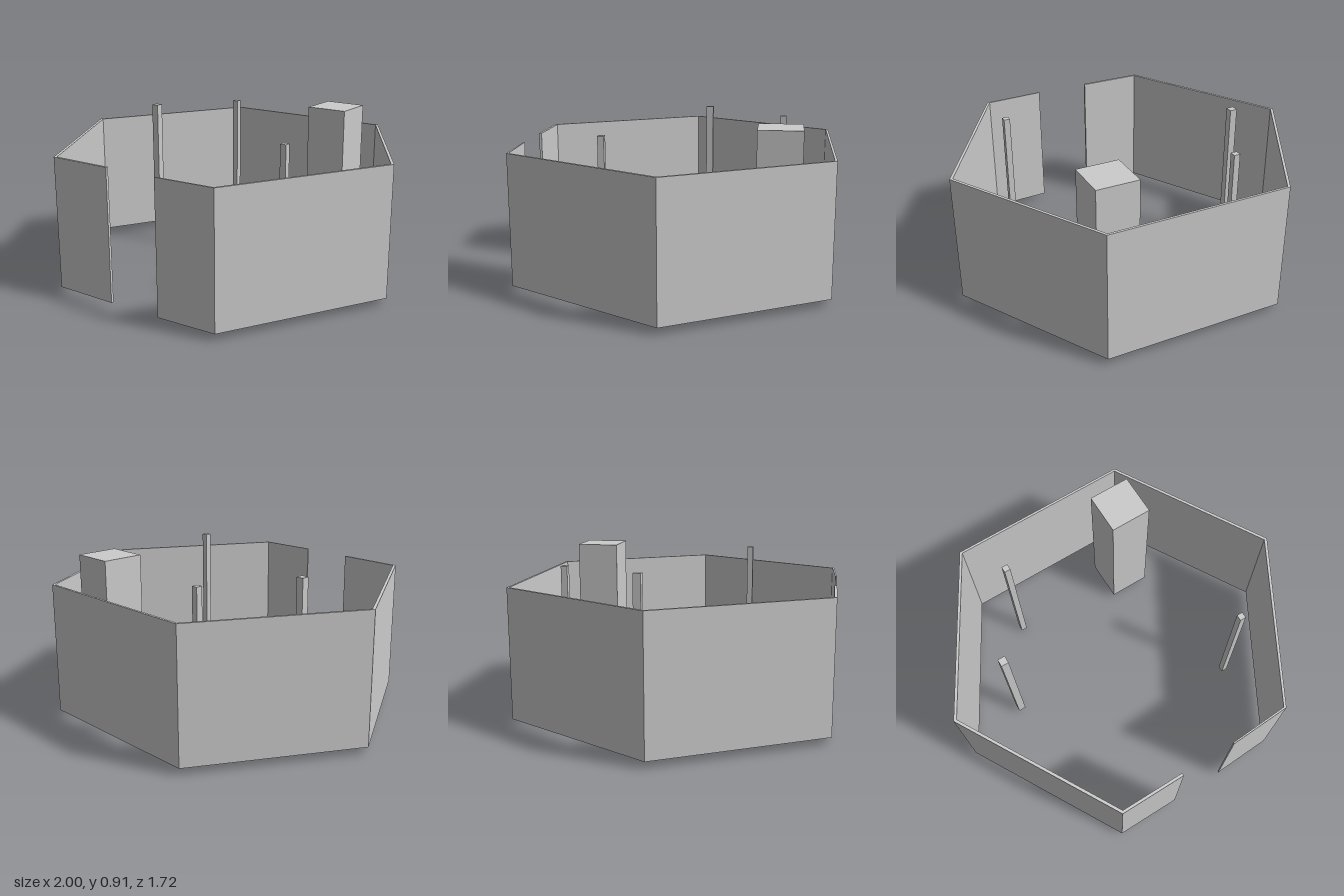
import * as THREE from 'three';

const material = new THREE.MeshStandardMaterial({ color: 0xcccccc, flatShading: true });

// Axis-aligned block standing from y0 to y1, centred on (x, z)
function block(name, x, z, width, y0, y1) {
  const mesh = new THREE.Mesh(new THREE.BoxGeometry(width, y1 - y0, width), material);
  mesh.name = name;
  mesh.position.set(x, (y0 + y1) / 2, z);
  return mesh;
}

export function createModel() {
  const model = new THREE.Group();
  model.name = 'hexagonalEnclosure';

  // Thin hexagonal wall with a doorway in the front side: plan points are (x, z)
  const outer = [
    [-0.14, 0.855], [-0.507, 0.855], [-1, -0.015], [-0.51, -0.86],
    [0.51, -0.86], [1, -0.022], [0.512, 0.84], [0.17, 0.855],
  ];
  const inner = [
    [0.17, 0.847], [0.502, 0.83], [0.982, -0.022], [0.501, -0.847],
    [-0.501, -0.847], [-0.982, -0.015], [-0.497, 0.84], [-0.14, 0.84],
  ];
  const plan = new THREE.Shape([...outer, ...inner].map(([x, z]) => new THREE.Vector2(x, z)));
  const bottom = 0.04, top = 0.767;
  const wallGeometry = new THREE.ExtrudeGeometry(plan, { depth: top - bottom, bevelEnabled: false });
  wallGeometry.rotateX(Math.PI / 2);
  wallGeometry.translate(0, top, 0);
  const wall = new THREE.Mesh(wallGeometry, material);
  wall.name = 'hexagonalWall';
  model.add(wall);

  // Square pillar and slender posts inside the wall
  model.add(block('squarePillar', 0.369, -0.575, 0.235, 0.035, 0.91));
  model.add(block('backPost', -0.352, -0.588, 0.035, 0, 0.867));
  model.add(block('sidePost', -0.627, -0.125, 0.042, 0.04, 0.882));
  model.add(block('frontPost', 0.567, 0.322, 0.034, 0.03, 0.88));

  return model;
}
